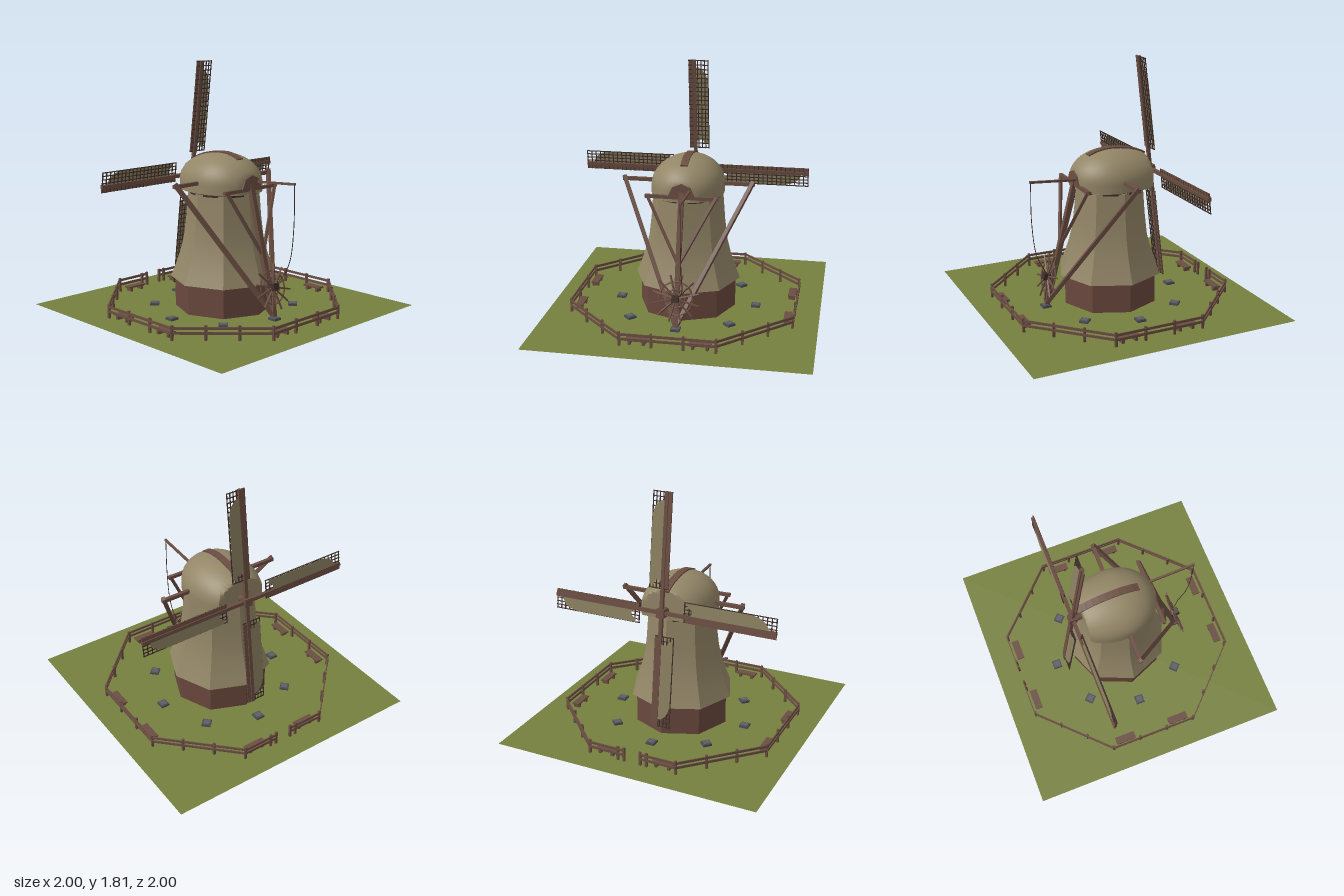
import * as THREE from 'three';
import { toCreasedNormals } from 'three/addons/utils/BufferGeometryUtils.js';

const mat = (name, color) => Object.assign(new THREE.MeshStandardMaterial({ color }), { name });

export function createModel() {
  const grass = mat('grass', 0x76803f);
  const thatch = mat('thatch', 0x938667);
  const timber = mat('timber', 0x6b4e42);
  const wall = mat('wall', 0x6a483d);
  const lath = mat('lath', 0x3f2f28);
  const cloth = mat('cloth', 0x8a7f60);
  const stone = mat('stone', 0x4a4d54);
  const stoneTop = mat('stoneTop', 0x5c5f66);
  grass.side = cloth.side = THREE.DoubleSide;

  const root = new THREE.Group();
  root.name = 'windmill';
  const mill = new THREE.Group();
  mill.name = 'mill';
  mill.position.y = 0.002;
  root.add(mill);

  const V = (x, y, z) => new THREE.Vector3(x, y, z);
  const add = (parent, name, geo, m, x = 0, y = 0, z = 0) => {
    const mesh = new THREE.Mesh(geo, m);
    mesh.name = name;
    mesh.position.set(x, y, z);
    parent.add(mesh);
    return mesh;
  };
  const box = (parent, name, m, w, h, d, x, y, z) =>
    add(parent, name, new THREE.BoxGeometry(w, h, d), m, x, y, z);
  // square bar running from a to b
  const beam = (parent, name, m, a, b, w, h = w) => {
    const mesh = box(parent, name, m, w, h, a.distanceTo(b), 0, 0, 0);
    mesh.position.copy(a).add(b).multiplyScalar(0.5);
    mesh.quaternion.setFromUnitVectors(V(0, 0, 1), b.clone().sub(a).normalize());
    return mesh;
  };
  const group = (parent, name, x = 0, y = 0, z = 0) => {
    const g = new THREE.Group();
    g.name = name;
    g.position.set(x, y, z);
    parent.add(g);
    return g;
  };
  const lathe = (pts, n) => new THREE.LatheGeometry(pts.map(p => new THREE.Vector2(...p)), n);

  // ground
  add(root, 'ground', new THREE.PlaneGeometry(2, 2).rotateX(-Math.PI / 2), grass);

  // eight-sided base and flared tower
  add(mill, 'base', toCreasedNormals(lathe([[0.36, 0], [0.36, 0.23]], 8), 0.4), wall);
  add(mill, 'tower', toCreasedNormals(lathe([[0.34, 0.223], [0.393, 0.223], [0.355, 0.32],
    [0.322, 0.42], [0.295, 0.53], [0.277, 0.68], [0.262, 0.872], [0, 0.872]], 8), 0.4), thatch);
  add(mill, 'collar', new THREE.CylinderGeometry(0.25, 0.25, 0.04, 32), lath, 0, 0.88, 0);

  // cap: a stretched dome cut flat at front and back
  const CAP_Y = 0.94, CAP_H = 0.213;
  const profile = [[0, -0.06], [1, -0.06], [1, 0]];
  for (let i = 1; i <= 14; i++) {
    const a = (i / 14) * Math.PI / 2;
    profile.push([i === 14 ? 0 : Math.cos(a), Math.sin(a)]);
  }
  const capGeo = lathe(profile, 48), p = capGeo.attributes.position;
  for (let i = 0; i < p.count; i++) {
    const y = p.getY(i), z = p.getZ(i);
    p.setXYZ(i, p.getX(i) * 0.267, CAP_Y + (y < 0 ? y : y * CAP_H),
      THREE.MathUtils.clamp(z * (z > 0 ? 0.3 : 0.4), -0.27, 0.28));
  }
  add(mill, 'cap', toCreasedNormals(capGeo, 0.6), thatch);

  // ridge board over the cap
  const ridge = group(mill, 'ridgeBoard');
  const ridgePoint = z => V(0, CAP_Y + 0.002 + CAP_H * Math.sqrt(1 - (z / (z > 0 ? 0.3 : 0.4)) ** 2), z);
  for (let i = 0; i < 9; i++) {
    beam(ridge, 'ridgePiece', timber, ridgePoint(0.17 - i * 0.05), ridgePoint(0.12 - i * 0.05), 0.054, 0.014);
  }

  // dormer hatch on the front of the cap
  const hatch = new THREE.Shape([[-0.1, 0.915], [0.1, 0.915], [0.065, 0.99], [0, 1.018], [-0.065, 0.99]]
    .map(q => new THREE.Vector2(...q)));
  add(mill, 'dormer', new THREE.ExtrudeGeometry(hatch, { depth: 0.09, bevelEnabled: false }), timber, 0, 0, 0.2);

  // tail pole, cross beams and braces
  const tail = group(mill, 'tail');
  beam(tail, 'tailPole', timber, V(0, 1.0, 0.26), V(0, 0.02, 0.51), 0.036);
  beam(tail, 'frontBeam', timber, V(-0.265, 0.915, 0.275), V(0.265, 0.915, 0.275), 0.024);
  beam(tail, 'longBeam', timber, V(-0.49, 0.955, 0), V(0.49, 0.955, 0), 0.026);
  for (const s of [-1, 1]) {
    beam(tail, 'longBrace', timber, V(s * 0.48, 0.975, 0), V(s * 0.01, 0.04, 0.505), 0.028);
    beam(tail, 'shortBrace', timber, V(s * 0.25, 0.925, 0.28), V(0, 0.45, 0.4), 0.02);
  }

  // brake pole with its hanging rope
  beam(mill, 'brakePole', timber, V(0.06, 0.96, 0.24), V(0.06, 0.988, 0.645), 0.016);
  const ropePath = new THREE.CatmullRomCurve3([V(0.06, 0.985, 0.638), V(0.06, 0.68, 0.636),
    V(0.06, 0.44, 0.605), V(0.055, 0.32, 0.55), V(0.03, 0.26, 0.51)]);
  add(mill, 'brakeRope', new THREE.TubeGeometry(ropePath, 24, 0.003, 5), lath);

  // winch wheel with twelve handles
  const wheel = group(mill, 'winchWheel', 0, 0.235, 0.495);
  wheel.rotation.x = -0.25;
  for (const r of [0.12, 0.065]) {
    add(wheel, 'rim', new THREE.TorusGeometry(r, 0.006, 6, 36), timber);
  }
  for (let i = 0; i < 12; i++) {
    const a = (i + 0.5) * Math.PI / 6;
    beam(wheel, 'handle', timber, V(0, 0, 0.008), V(Math.cos(a) * 0.172, Math.sin(a) * 0.172, 0.008), 0.011);
  }
  box(wheel, 'hub', lath, 0.05, 0.05, 0.06, 0, 0, 0.012);

  // sail shaft and four sails, leaning back at the top
  const sails = group(mill, 'sails', 0, 0.957, -0.34);
  sails.rotation.x = 0.122;
  add(sails, 'shaft', new THREE.CylinderGeometry(0.026, 0.026, 0.2, 12).rotateX(Math.PI / 2), timber, 0, 0, 0.08);
  box(sails, 'sailHub', timber, 0.06, 0.06, 0.06, 0, 0, 0);
  const sheet = new THREE.Shape();
  sheet.moveTo(0.008, 0.22);
  sheet.quadraticCurveTo(0.06, 0.26, 0.07, 0.2);
  sheet.lineTo(0.102, 0.2);
  sheet.lineTo(0.102, 0.67);
  sheet.quadraticCurveTo(0.095, 0.77, 0.03, 0.8);
  sheet.lineTo(0.008, 0.8);
  const sheetGeo = new THREE.ShapeGeometry(sheet);
  for (let k = 0; k < 4; k++) {
    const sail = group(sails, 'sail');
    sail.rotation.z = k * Math.PI / 2;
    box(sail, 'stock', timber, 0.026, 0.86, 0.024, 0, 0.43, 0);
    box(sail, 'windBoard', timber, 0.032, 0.68, 0.008, -0.026, 0.52, 0);
    add(sail, 'sailCloth', sheetGeo, cloth, 0, 0, -0.007);
    for (let i = 0; i < 21; i++) {
      box(sail, 'crossLath', lath, 0.148, 0.006, 0.007, 0.031, 0.175 + i * 0.034, 0.001);
    }
    for (const x of [0.025, 0.052, 0.078, 0.103]) {
      box(sail, 'longLath', lath, 0.006, 0.69, 0.006, x, 0.515, 0.001);
    }
  }

  // eight-sided fence with a gap at the back
  const fence = group(mill, 'fence');
  const post = v => box(fence, 'fencePost', timber, 0.017, 0.105, 0.017, v.x * 0.992, 0.0525, v.z * 0.992);
  const rails = (a, b) => {
    for (const y of [0.053, 0.087]) {
      beam(fence, 'fenceRail', timber, V(a.x, y, a.z), V(b.x, y, b.z), 0.008, 0.018);
    }
  };
  const corners = [[-0.34, 0.825], [0.34, 0.825], [0.825, 0.34], [0.825, -0.34],
    [0.34, -0.825], [-0.34, -0.825], [-0.825, -0.34], [-0.825, 0.34]].map(([x, z]) => V(x, 0, z));
  corners.forEach((a, i) => {
    const b = corners[(i + 1) % 8];
    post(a);
    for (const t of [1 / 3, 2 / 3]) post(a.clone().lerp(b, t));
    if (i !== 4) return rails(a, b);
    for (const c of [a, b]) {
      const end = V(Math.sign(c.x) * 0.065, 0, c.z);
      post(end);
      rails(c, end);
    }
  });

  // benches and anchor stones around the yard
  for (let k = 0; k < 4; k++) {
    for (const s of [-1, 1]) {
      const bench = group(mill, 'bench');
      bench.rotation.y = k * Math.PI / 2;
      box(bench, 'benchSeat', timber, 0.158, 0.012, 0.056, s * 0.222, 0.034, 0.775);
      for (const e of [-0.05, 0.05]) {
        box(bench, 'benchLeg', timber, 0.02, 0.03, 0.05, s * 0.222 + e, 0.015, 0.775);
      }
    }
  }
  for (let k = 0; k < 8; k++) {
    const anchor = group(mill, 'anchorStone');
    anchor.rotation.y = k * Math.PI / 4;
    box(anchor, 'stoneBlock', stone, 0.066, 0.016, 0.066, 0, 0.008, 0.517);
    box(anchor, 'stoneCap', stoneTop, 0.046, 0.005, 0.046, 0, 0.0175, 0.517);
  }
  return root;
}
